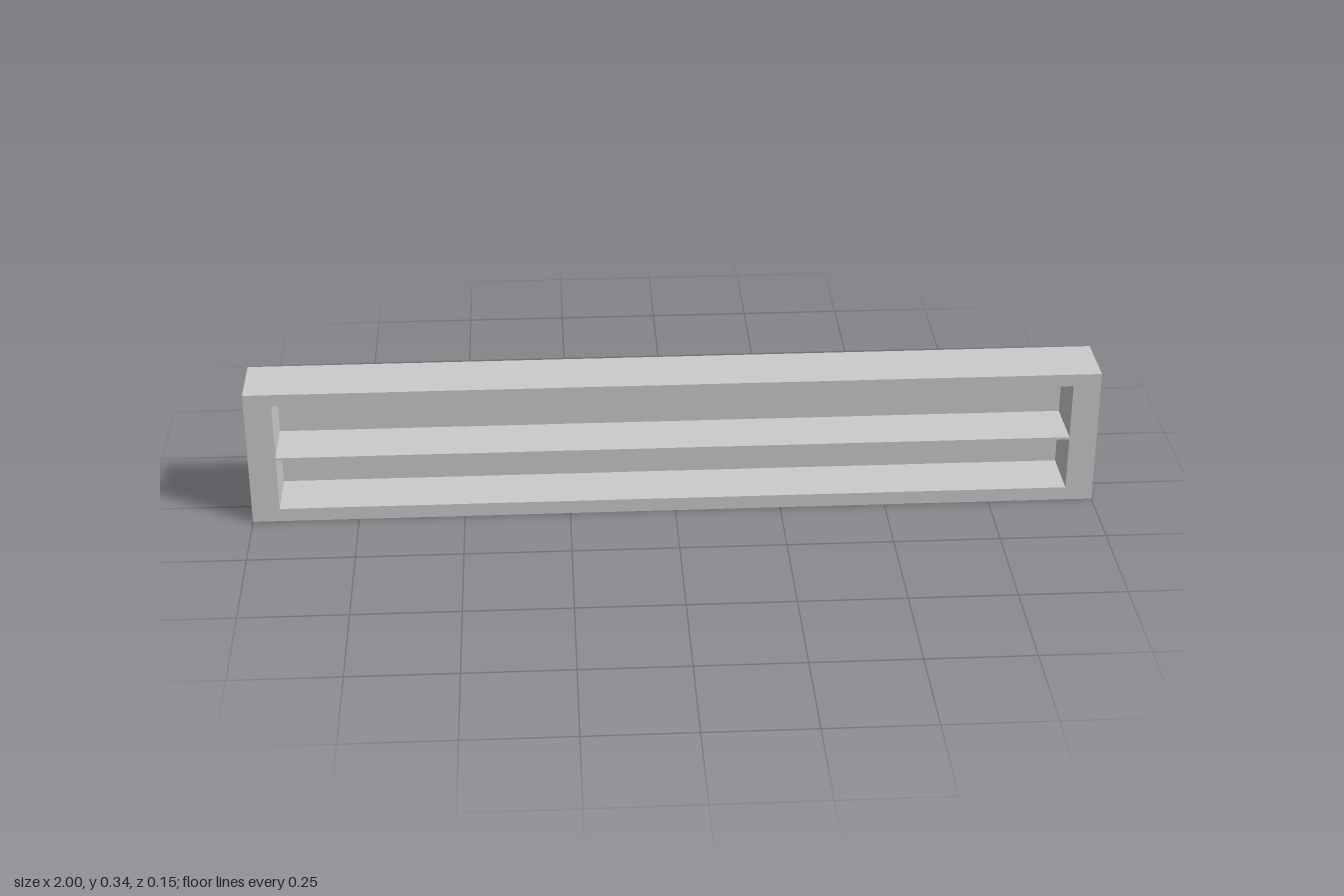
import * as THREE from 'three';

const W = 2, H = 0.335, D = 0.148;          // overall size
const BACK = 0.013;                         // back panel thickness
const IN_X = 0.935, IN_Y0 = 0.033, IN_Y1 = 0.305; // front opening

export function createModel() {
  const group = new THREE.Group();
  const material = new THREE.MeshStandardMaterial({ color: 0xcccccc, flatShading: true });
  const add = (name, geometry) => {
    const mesh = new THREE.Mesh(geometry, material);
    mesh.name = name;
    group.add(mesh);
  };
  const rect = (Type, x, y0, y1) => new Type([
    new THREE.Vector2(-x, y0), new THREE.Vector2(x, y0),
    new THREE.Vector2(x, y1), new THREE.Vector2(-x, y1),
  ]);

  // Frame: outer rectangle with the opening cut through
  const outline = rect(THREE.Shape, W / 2, 0, H);
  outline.holes.push(rect(THREE.Path, IN_X, IN_Y0, IN_Y1));
  const frame = new THREE.ExtrudeGeometry(outline, { depth: D, bevelEnabled: false });
  add('frame', frame.translate(0, 0, -D / 2));

  // Back panel closing the opening, flush with the back of the frame
  const back = new THREE.BoxGeometry(IN_X * 2, IN_Y1 - IN_Y0, BACK);
  add('backPanel', back.translate(0, (IN_Y0 + IN_Y1) / 2, -D / 2 + BACK / 2));

  // Thin shelf across the middle, flush with the front
  const shelf = new THREE.BoxGeometry(IN_X * 2, 0.006, D - BACK);
  add('shelf', shelf.translate(0, 0.166, BACK / 2));

  return group;
}
